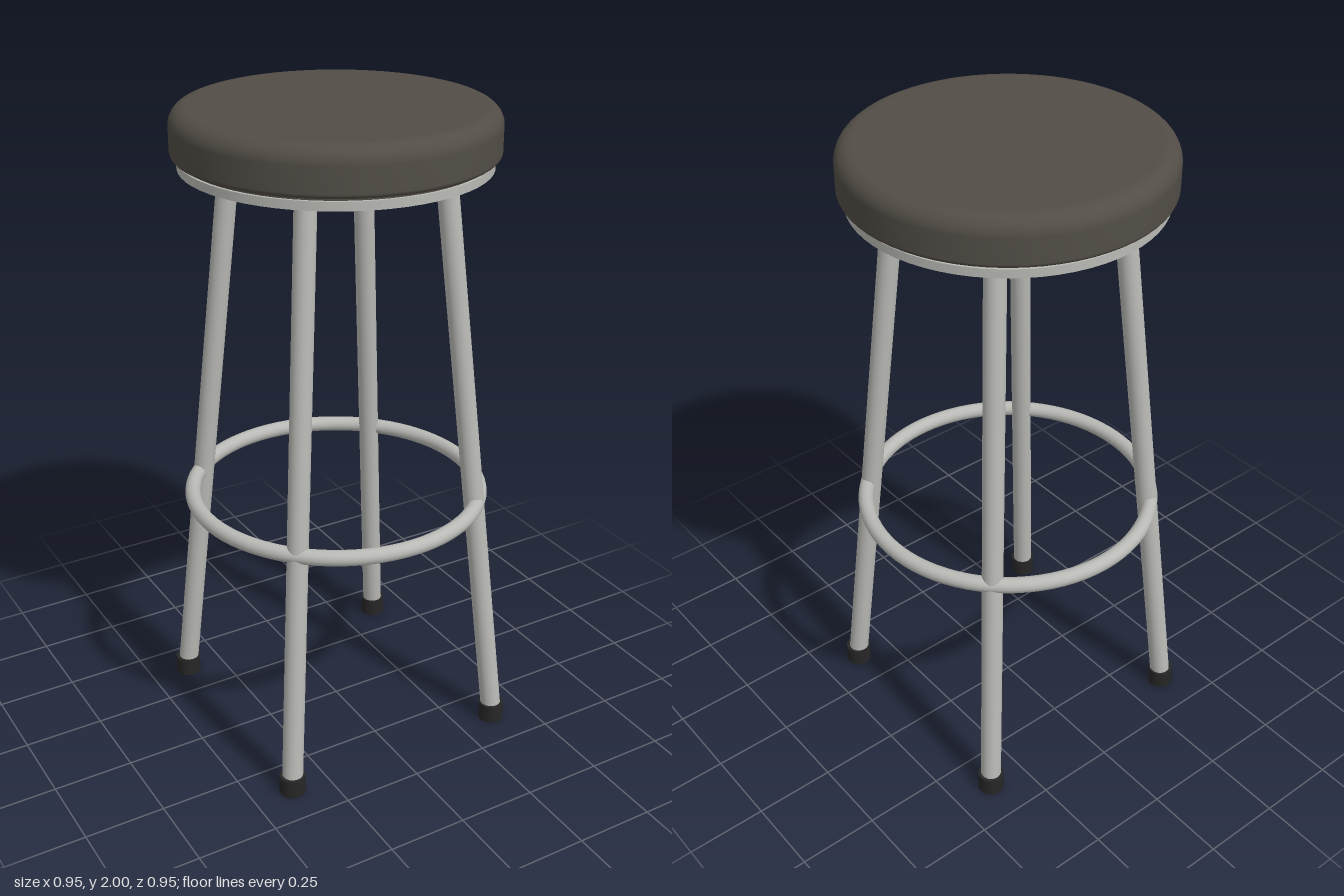
import * as THREE from 'three';

export function createModel() {
  const stool = new THREE.Group();
  stool.name = 'barStool';

  const material = (name, color) => {
    const m = new THREE.MeshStandardMaterial({ color });
    m.name = name;
    return m;
  };
  const vinyl = material('dark vinyl', 0x524d46);
  const metal = material('grey metal', 0xb9b9b5);
  const rubber = material('black rubber', 0x262626);

  const add = (name, geometry, mat, y = 0) => {
    const mesh = new THREE.Mesh(geometry, mat);
    mesh.name = name;
    mesh.position.y = y;
    stool.add(mesh);
    return mesh;
  };

  // Padded seat: rounded profile turned around the y axis
  const R = 0.472, bottom = 1.862, top = 2;
  const profile = [new THREE.Vector2(0, bottom), new THREE.Vector2(R - 0.03, bottom)];
  const fillet = (r, cy, from, to) => {
    for (let i = 0; i <= 8; i++) {
      const a = from + (to - from) * i / 8;
      profile.push(new THREE.Vector2(R - r + r * Math.cos(a), cy + r * Math.sin(a)));
    }
  };
  fillet(0.015, bottom + 0.015, -Math.PI / 2, 0);
  fillet(0.05, top - 0.05, 0, Math.PI / 2);
  profile.push(new THREE.Vector2(R - 0.06, top), new THREE.Vector2(0, top));
  add('seatCushion', new THREE.LatheGeometry(profile, 64), vinyl);

  // Narrow gap, base plate and hub below the cushion
  add('seatNeck', new THREE.CylinderGeometry(0.445, 0.445, 0.02, 64), vinyl, 1.856);
  add('seatPlate', new THREE.CylinderGeometry(0.453, 0.453, 0.026, 64), metal, 1.84);
  add('seatHub', new THREE.CylinderGeometry(0.132, 0.132, 0.03, 40), metal, 1.813);

  // Round footrest
  const ring = add('footRing', new THREE.TorusGeometry(0.449, 0.024, 16, 80), metal, 0.79);
  ring.rotation.x = Math.PI / 2;

  // Four splayed legs with rubber feet
  const up = new THREE.Vector3(0, 1, 0);
  for (const [sx, sz] of [[1, 1], [-1, 1], [-1, -1], [1, -1]]) {
    const foot = new THREE.Vector3(0.372 * sx, 0.03, 0.372 * sz);
    const head = new THREE.Vector3(0.225 * sx, 1.84, 0.225 * sz);
    const span = head.clone().sub(foot);
    const leg = add('leg', new THREE.CylinderGeometry(0.032, 0.032, span.length(), 24), metal);
    leg.position.copy(foot).addScaledVector(span, 0.5);
    leg.quaternion.setFromUnitVectors(up, span.normalize());

    const cap = add('rubberFoot', new THREE.CylinderGeometry(0.04, 0.04, 0.06, 24), rubber);
    cap.position.set(0.372 * sx, 0.03, 0.372 * sz);
  }
  return stool;
}
